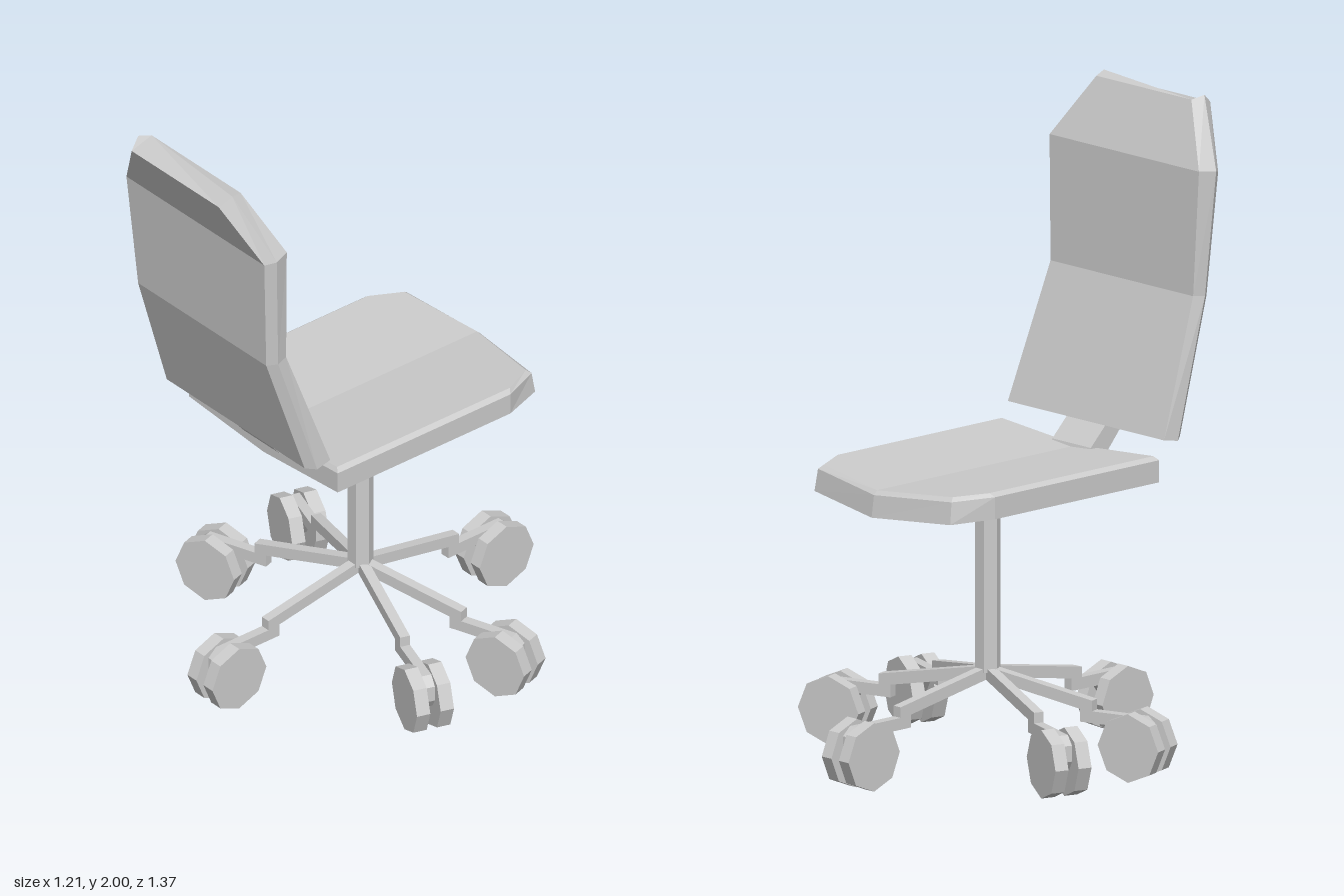
import * as THREE from 'three';

const material = new THREE.MeshStandardMaterial({ color: 0xcccccc, flatShading: true });

function addMesh(parent, name, geometry) {
  const mesh = new THREE.Mesh(geometry, material);
  mesh.name = name;
  parent.add(mesh);
  return mesh;
}

// Joins rings of [x, y, z] points (bottom to top, anticlockwise from above) and caps both ends
function loft(rings) {
  const pos = [];
  const tri = (a, b, c) => pos.push(...a, ...b, ...c);
  const n = rings[0].length;
  for (let r = 0; r < rings.length - 1; r++) {
    const a = rings[r], b = rings[r + 1];
    for (let i = 0; i < n; i++) {
      const j = (i + 1) % n;
      tri(a[i], a[j], b[j]);
      tri(a[i], b[j], b[i]);
    }
  }
  const low = rings[0], top = rings[rings.length - 1];
  for (let i = 1; i < n - 1; i++) {
    tri(low[0], low[i + 1], low[i]);
    tri(top[0], top[i], top[i + 1]);
  }
  const g = new THREE.BufferGeometry();
  g.setAttribute('position', new THREE.Float32BufferAttribute(pos, 3));
  g.computeVertexNormals();
  return g;
}

// Extrudes a side outline of [z, y] points to a width across x
function sidePlate(points, width) {
  const shape = new THREE.Shape(points.map(([z, y]) => new THREE.Vector2(-z, y)));
  const g = new THREE.ExtrudeGeometry(shape, { depth: width, bevelEnabled: false });
  g.translate(0, 0, -width / 2);
  g.rotateY(Math.PI / 2);
  return g;
}

// Hexagonal post with corners on the x axis
function hexPost(radius, y0, y1) {
  const g = new THREE.CylinderGeometry(radius, radius, y1 - y0, 6);
  g.rotateY(Math.PI / 6);
  g.translate(0, (y0 + y1) / 2, -0.05);
  return g;
}

export function createModel() {
  const model = new THREE.Group();
  model.name = 'officeChair';

  // Seat: pointed front edge, shallow V across its width
  const seatRing = (x, xFront, zBack, zSide, zCorner, zTip, y) => [
    [0, zTip], [-xFront, zCorner], [-x, zSide], [-x, zBack],
    [0, zBack], [x, zBack], [x, zSide], [xFront, zCorner],
  ].map(([px, pz]) => [px, y + 0.075 * Math.abs(px), pz]);
  addMesh(model, 'seat', loft([
    seatRing(0.35, 0.3, 0.335, -0.35, -0.49, -0.535, 0.838),
    seatRing(0.35, 0.295, 0.335, -0.35, -0.48, -0.525, 0.907),
    seatRing(0.335, 0.285, 0.325, -0.36, -0.465, -0.512, 0.92),
  ]));

  // Backrest: narrow waist, chamfered top, bevelled rim
  const rows = [
    { front: [0.345, 0.99, 0.36], rim: [0.348, 0.98, 0.415], rear: [0.325, 0.985, 0.445] },
    { front: [0.315, 1.41, 0.51], rim: [0.325, 1.405, 0.55], rear: [0.302, 1.4, 0.578] },
    { front: [0.33, 1.8, 0.52], rim: [0.348, 1.795, 0.575], rear: [0.325, 1.785, 0.605] },
    { front: [0.21, 1.99, 0.602], rim: [0.222, 2.0, 0.645], rear: [0.205, 1.97, 0.685] },
  ];
  const flip = ([x, y, z]) => [-x, y, z];
  addMesh(model, 'backrest', loft(rows.map(({ front, rim, rear }) =>
    [flip(front), flip(rim), flip(rear), rear, rim, front])));

  // Bracket joining backrest and seat
  addMesh(model, 'backBracket', sidePlate(
    [[0.29, 0.9], [0.34, 0.875], [0.43, 0.98], [0.43, 1.03], [0.38, 1.01], [0.3, 0.93]], 0.17));

  // Column and mounting plate
  addMesh(model, 'column', hexPost(0.04, 0.28, 0.85));
  addMesh(model, 'mountingPlate', hexPost(0.1, 0.815, 0.845));

  // Base: six stepped legs, each ending in a twin-wheel caster
  const base = new THREE.Group();
  base.name = 'base';
  base.position.z = -0.05;
  base.scale.x = 0.97;
  model.add(base);
  const legOutline = [
    [0, 0.26], [0.335, 0.2], [0.335, 0.16], [0.45, 0.16], [0.5, 0.09], [0.57, 0.09],
    [0.59, 0.12], [0.59, 0.17], [0.56, 0.197], [0.378, 0.197], [0.378, 0.23], [0, 0.297],
  ];
  const legGeometry = sidePlate(legOutline, 0.032);
  const wheelGeometry = new THREE.CylinderGeometry(0.107, 0.107, 0.044, 8);
  wheelGeometry.rotateZ(Math.PI / 2);
  for (const degrees of [0, 72, 108, 180, 252, 288]) {
    const leg = new THREE.Group();
    leg.name = 'leg';
    leg.rotation.y = THREE.MathUtils.degToRad(degrees);
    addMesh(leg, 'legArm', legGeometry);
    for (const side of [-1, 1]) {
      addMesh(leg, 'casterWheel', wheelGeometry).position.set(side * 0.039, 0.107, 0.53);
    }
    base.add(leg);
  }
  return model;
}
